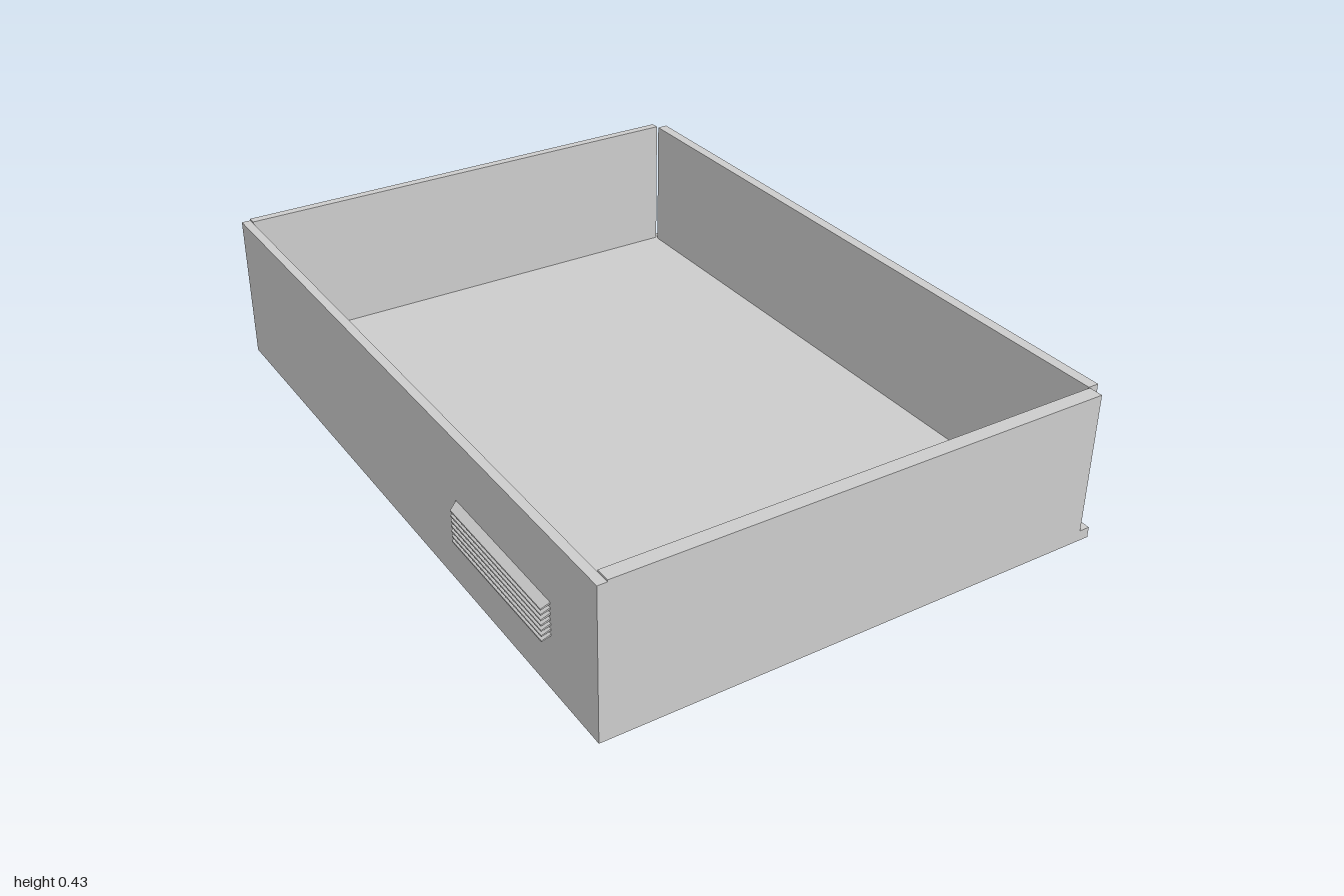
import * as THREE from 'three';

const material = new THREE.MeshStandardMaterial({ color: 0xcccccc, flatShading: true });
const smooth = new THREE.MeshStandardMaterial({ color: 0xcccccc });

export function createModel() {
  const group = new THREE.Group();
  const add = (name, geometry, mat = material) => {
    const mesh = new THREE.Mesh(geometry, mat);
    mesh.name = name;
    group.add(mesh);
    return mesh;
  };
  // Box given by its two opposite corners
  const box = (name, [x0, y0, z0], [x1, y1, z1]) =>
    add(name, new THREE.BoxGeometry(x1 - x0, y1 - y0, z1 - z0))
      .position.set((x0 + x1) / 2, (y0 + y1) / 2, (z0 + z1) / 2);

  // Tray floor and the three plain walls, leaving open notches at the +x corners
  box('floor', [-0.68, 0, -1], [0.72, 0.03, 1]);
  box('frontWall', [-0.68, 0.03, 0.96], [0.69, 0.425, 1]);
  box('backWall', [-0.68, 0.03, -1], [0.69, 0.425, -0.975]);
  box('leftWall', [0.69, 0.03, -0.967], [0.72, 0.425, 0.957]);

  // Vented wall: a sheet with a row of long slots, drawn in (z, y)
  const slotCount = 7, ventBottom = 0.145, pitch = 0.0145;
  const z0 = 0.355, z1 = 0.795;
  const rect = (target, a, b, c, d) => {
    target.moveTo(a, b);
    target.lineTo(c, b);
    target.lineTo(c, d);
    target.lineTo(a, d);
    target.closePath();
    return target;
  };
  const wall = rect(new THREE.Shape(), -1, 0, 1, 0.42);
  for (let i = 0; i < slotCount; i++) {
    const y = ventBottom + i * pitch;
    wall.holes.push(rect(new THREE.Path(), z0 + 0.005, y, z1 - 0.005, y + 0.009));
  }
  const wallGeometry = new THREE.ExtrudeGeometry(wall, { depth: 0.025, bevelEnabled: false });
  wallGeometry.rotateY(-Math.PI / 2);
  add('ventedWall', wallGeometry).position.x = -0.68;

  // Louvre slats, sloping down and outward, with slightly tapered ends
  for (let i = 0; i < slotCount; i++) {
    const y = ventBottom + i * pitch + 0.009;
    const profile = new THREE.Shape([
      new THREE.Vector2(-0.705, y), new THREE.Vector2(-0.725, y - 0.015),
      new THREE.Vector2(-0.725, y - 0.011), new THREE.Vector2(-0.705, y + 0.005),
    ]);
    const slat = new THREE.ExtrudeGeometry(profile, { depth: z1 - z0 + 0.01, bevelEnabled: false });
    slat.translate(0, 0, z0 - 0.005);
    const p = slat.attributes.position;
    for (let v = 0; v < p.count; v++) {
      if (p.getX(v) < -0.72) p.setZ(v, p.getZ(v) + (p.getZ(v) < 0.57 ? 0.008 : -0.008));
    }
    add('louvreSlat', slat);
  }

  // Hollow boss in the front corner, tied to the wall by a small rib
  const ring = new THREE.Shape().absarc(-0.625, -0.89, 0.038, 0, Math.PI * 2);
  ring.holes.push(new THREE.Path().absarc(-0.625, -0.89, 0.028, 0, Math.PI * 2, true));
  const boss = new THREE.ExtrudeGeometry(ring, { depth: 0.1, bevelEnabled: false, curveSegments: 24 });
  boss.rotateX(-Math.PI / 2);
  add('boss', boss, smooth).position.y = 0.03;
  box('bossRib', [-0.68, 0.03, 0.88], [-0.66, 0.13, 0.9]);

  return group;
}
